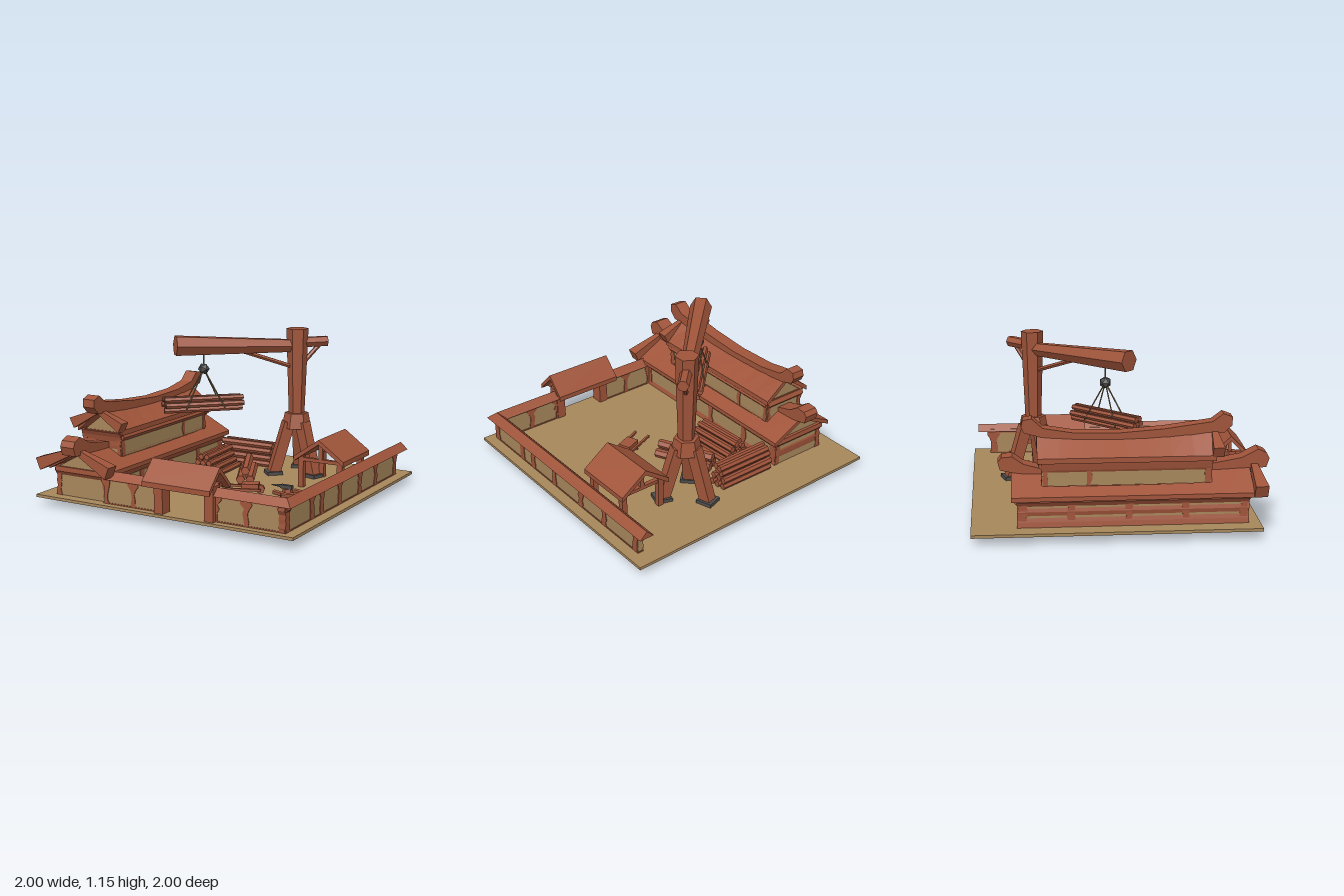
import * as THREE from 'three';

const V = (x, y, z) => new THREE.Vector3(x, y, z);
const mat = (name, color) => { const m = new THREE.MeshStandardMaterial({ color }); m.name = name; return m; };

export function createModel() {
  const root = new THREE.Group();
  const wood = mat('terracotta wood', 0xa0543a), sand = mat('sandy plaster', 0xa8875c);
  const stone = mat('dark stone', 0x4f4d4c), rope = mat('rope', 0x86714f);

  let seed = 7;
  const rnd = () => (seed = (seed * 16807) % 2147483647) / 2147483647 - 0.5;

  // Faceted mesh
  function add(name, geo, material, parent = root) {
    const g = geo.index ? geo.toNonIndexed() : geo;
    g.computeVertexNormals();
    const m = new THREE.Mesh(g, material);
    m.name = name;
    parent.add(m);
    return m;
  }
  function group(name) { const g = new THREE.Group(); g.name = name; root.add(g); return g; }
  const box = (x0, x1, y0, y1, z0, z1) => new THREE.BoxGeometry(x1 - x0, y1 - y0, z1 - z0)
    .translate((x0 + x1) / 2, (y0 + y1) / 2, (z0 + z1) / 2);

  // Tapered bar from a to b; for four sides r is half the side
  function bar(a, b, ra, rb = ra, sides = 6) {
    const d = b.clone().sub(a), k = sides === 4 ? Math.SQRT2 : 1;
    const g = new THREE.CylinderGeometry(rb * k, ra * k, d.length(), sides);
    g.rotateY(Math.atan2(d.z, -d.x) + (sides === 4 ? Math.PI / 4 : 0));
    g.applyQuaternion(new THREE.Quaternion().setFromUnitVectors(V(0, 1, 0), d.normalize()));
    const c = a.clone().add(b).multiplyScalar(0.5);
    return g.translate(c.x, c.y, c.z);
  }
  // Closed skin through matching cross-sections
  function loft(sections) {
    const n = sections[0].length, pts = sections.flat(), idx = [];
    for (let s = 0; s < sections.length - 1; s++) for (let i = 0; i < n; i++) {
      const a = s * n + i, b = s * n + (i + 1) % n;
      idx.push(a, b, b + n, a, b + n, a + n);
    }
    const e = pts.length - n;
    for (let i = 1; i < n - 1; i++) idx.push(0, i + 1, i, e, e + i, e + i + 1);
    let vol = 0;
    for (let i = 0; i < idx.length; i += 3) vol += pts[idx[i]].dot(pts[idx[i + 1]].clone().cross(pts[idx[i + 2]]));
    if (vol < 0) idx.reverse();
    const g = new THREE.BufferGeometry().setFromPoints(pts);
    g.setIndex(idx);
    return g;
  }
  // Gabled roof slab along z, ridge height given by a function
  function roof(cx, half, eave, ridge, z0, z1, t, steps = 1) {
    const out = [];
    for (let i = 0; i <= steps; i++) {
      const z = z0 + (z1 - z0) * i / steps, r = ridge(z);
      out.push([V(cx, r, z), V(cx + half, eave, z), V(cx + half, eave - t, z), V(cx, r - t, z),
        V(cx - half, eave - t, z), V(cx - half, eave, z)]);
    }
    return loft(out);
  }
  // Flat outline pushed through z (or through x, with u running along z)
  function slab(points, center, depth, alongX) {
    const g = new THREE.ExtrudeGeometry(new THREE.Shape(points.map(p => new THREE.Vector2(p[0], p[1]))),
      { depth, bevelEnabled: false }).translate(0, 0, -depth / 2);
    return alongX ? g.rotateY(-Math.PI / 2).translate(center, 0, 0) : g.translate(0, 0, center);
  }
  // Rough-edged timber showing on both faces of a wall
  function post(u, w, y0, y1, center, depth, alongX) {
    const l = [], r = [];
    for (let i = 0; i <= 6; i++) {
      const y = y0 + (y1 - y0) * i / 6, f = i > 4 ? 0.02 : 0;
      l.push([u - w / 2 - f + rnd() * 0.018, y]);
      r.unshift([u + w / 2 + f + rnd() * 0.018, y]);
    }
    add('wallPost', slab([...l, ...r], center, depth, alongX), wood);
  }

  // Ground
  add('ground', slab([[-1, -0.92], [1, -0.92], [1, 1], [-1, 0.96]], 0, 0.02)
    .rotateX(-Math.PI / 2).translate(0, 0.065, 0), sand);

  // Two-tier hall
  const hx = -0.66;
  const gable = (h, y0, y1, peak) => [[hx - h, y0], [hx + h, y0], [hx + h, y1], [hx, peak], [hx - h, y1]];
  add('lowerHall', slab(gable(0.21, 0.07, 0.27, 0.385), 0.09, 1.5), sand);
  add('upperHall', slab(gable(0.16, 0.28, 0.49, 0.61), 0.05, 1.1), sand);
  add('lowerRoof', roof(hx, 0.257, 0.29, z => 0.405 + 0.03 * z * z, -0.70, 0.87, 0.03, 8), wood);
  add('upperRoof', roof(hx, 0.188, 0.525, z => 0.635 + 0.12 * z * z, -0.53, 0.63, 0.035, 8), wood);
  const ridges = {
    lowerRidge: [0.11, [[1, 0.46], [0.98, 0.5], [0.925, 0.525], [0.82, 0.47], [0.6, 0.43], [0, 0.41], [-0.5, 0.42],
      [-0.62, 0.455], [-0.69, 0.505], [-0.76, 0.5], [-0.785, 0.47], [-0.77, 0.415], [-0.7, 0.4], [-0.5, 0.37],
      [0.6, 0.37], [0.87, 0.395], [0.98, 0.4]]],
    upperRidge: [0.095, [[0.75, 0.745], [0.69, 0.767], [0.62, 0.715], [0.3, 0.672], [0, 0.65], [-0.3, 0.658],
      [-0.49, 0.69], [-0.56, 0.755], [-0.62, 0.745], [-0.63, 0.7], [-0.61, 0.66], [-0.5, 0.63], [-0.2, 0.6],
      [0.2, 0.6], [0.6, 0.635], [0.7, 0.64], [0.75, 0.69]]],
  };
  for (const [name, [w, pts]] of Object.entries(ridges)) add(name, slab(pts, hx, w, true), wood);
  for (const s of [-1, 1]) {
    add('lowerGableBoard', bar(V(hx + s * 0.02, 0.415, 0.9), V(hx + s * 0.29, 0.305, 0.91), 0.02, 0.044, 4), wood);
    add('upperGableBoard', bar(V(hx + s * 0.02, 0.64, 0.635), V(hx + s * 0.205, 0.55, 0.64), 0.018, 0.038, 4), wood);
    post(hx + s * 0.195, 0.035, 0.075, 0.28, 0.09, 1.508);
    post(hx + s * 0.145, 0.03, 0.32, 0.5, 0.05, 1.108);
  }
  add('lowerGableBeam', box(hx - 0.2, hx + 0.2, 0.265, 0.28, -0.664, 0.844), wood);
  add('upperGableBeam', box(hx - 0.15, hx + 0.15, 0.49, 0.505, -0.504, 0.604), wood);
  for (const z of [0.81, 0.43, 0.06, -0.31, -0.63]) post(z, 0.05, 0.075, 0.28, hx, 0.428, true);
  for (const z of [0.58, -0.2, -0.48]) post(z, 0.035, 0.31, 0.5, hx, 0.328, true);
  add('upperSill', box(hx - 0.164, hx + 0.164, 0.3, 0.335, -0.5, 0.6), wood);

  // Courtyard walls with small gabled caps
  const walls = [[-0.46, 0, 0.82, 0.865], [0.39, 0.92, 0.82, 0.865], [0.88, 0.92, -0.87, 0.865]];
  for (const [x0, x1, z0, z1] of walls) {
    add('yardWall', box(x0, x1, 0.07, 0.265, z0, z1), sand);
    add('wallTopBeam', box(x0 - 0.002, x1 + 0.004, 0.235, 0.26, z0 - 0.004, z1 + 0.004), wood);
    add('wallFootBeam', box(x0 - 0.002, x1 + 0.004, 0.07, 0.083, z0 - 0.004, z1 + 0.004), wood);
  }
  for (const x of [-0.44, -0.22, -0.02, 0.42, 0.64, 0.9]) post(x, 0.035, 0.075, 0.25, 0.8425, 0.054);
  for (const z of [0.84, 0.5, 0.36, 0.09, -0.23, -0.5, -0.845]) post(z, 0.05, 0.075, 0.25, 0.9, 0.049, true);
  const cap = (x, z, dx, dz) => [V(x, 0.298, z), V(x + dx * 0.054, 0.248, z + dz * 0.054),
    V(x - dx * 0.054, 0.248, z - dz * 0.054)];
  add('wallRoofLeft', loft([cap(0.39, 0.845, 0, 1), cap(0.917, 0.845, 1, 1), cap(0.917, -0.965, 1, 0)]), wood);
  add('wallRoofRight', loft([cap(-0.44, 0.845, 0, 1), cap(0, 0.845, 0, 1)]), wood);

  // Gate
  add('gateRoof', roof(0, 0.128, 0.305, () => 0.435, -0.257, 0.257, 0.035)
    .rotateY(Math.PI / 2).translate(0.188, 0, 0.857), wood);
  for (const x of [0, 0.385]) {
    add('gatePost', box(x - 0.033, x + 0.033, 0.07, 0.31, 0.81, 0.9), wood);
    add('gateKingPost', box(x - 0.015, x + 0.015, 0.3, 0.41, 0.845, 0.87), wood);
    add('gateTie', box(x - 0.015, x + 0.015, 0.285, 0.31, 0.75, 0.965), wood);
  }

  // Open shed
  add('shedRoof', roof(0.638, 0.193, 0.3, () => 0.437, -0.585, -0.15, 0.035), wood);
  for (const z of [-0.53, -0.2]) {
    add('shedTie', box(0.48, 0.8, 0.265, 0.29, z - 0.015, z + 0.015), wood);
    add('shedKingPost', box(0.623, 0.653, 0.28, 0.41, z - 0.015, z + 0.015), wood);
    for (const s of [-1, 1])
      add('shedPost', box(0.638 + s * 0.15 - 0.02, 0.638 + s * 0.15 + 0.02, 0.07, 0.3, z - 0.02, z + 0.02), wood);
  }

  // Crane
  const cx = 0.265, cz = -0.54, crane = group('crane');
  add('craneMast', bar(V(cx, 0.45, cz), V(cx, 1.15, cz), 0.055, 0.08), wood, crane);
  add('craneCollar', bar(V(cx, 0.42, cz), V(cx, 0.53, cz), 0.108, 0.086), wood, crane);
  for (const [x, z] of [[0.21, -0.71], [0.14, -0.42], [0.435, -0.49]]) {
    add('craneLeg', bar(V(x, 0.08, z), V(cx + (x - cx) * 0.35, 0.46, cz + (z - cz) * 0.35), 0.04, 0.04, 4), wood, crane);
    const foot = add('craneFoot', new THREE.BoxGeometry(0.115, 0.1, 0.115), stone, crane);
    foot.position.set(x, 0.05, z);
    foot.rotation.y = Math.atan2(x - cx, z - cz);
  }
  add('jib', bar(V(-0.375, 1.055, 0.1), V(0.24, 1.025, -0.515), 0.078, 0.05), wood, crane);
  add('jibTail', bar(V(0.22, 1.045, -0.495), V(0.425, 1.05, -0.7), 0.04), wood, crane);
  add('jibBrace', bar(V(-0.03, 1.0, -0.245), V(0.25, 0.865, -0.525), 0.017), wood, crane);
  add('tailBrace', bar(V(0.38, 1.02, -0.655), V(0.28, 0.87, -0.555), 0.017), wood, crane);

  // Hook and slings
  const hook = V(-0.232, 0.88, -0.05);
  add('hookBall', new THREE.IcosahedronGeometry(0.042, 0).translate(hook.x, hook.y, hook.z), stone, crane);
  add('hoistRope', bar(hook, V(-0.232, 1.02, -0.05), 0.005), rope, crane);
  for (const s of [-1, 1]) for (const t of [-1, 1])
    add('sling', bar(hook, V(hook.x + s * 0.1 + t * 0.045, 0.6, hook.z - s * 0.1 + t * 0.045), 0.005), rope, crane);

  // Log stacks: log counts from the bottom row up
  function stack(name, x, y, z, angle, len, r, rows) {
    const g = group(name);
    rows.forEach((n, j) => {
      for (let i = 0; i < n; i++) {
        const l = len / 2 * (1 + rnd() * 0.08), w = (i - (n - 1) / 2) * r * 2, h = r + j * r * 1.8, o = rnd() * 0.02;
        add('log', bar(V(o - l, h, w), V(o + l, h, w), r, r * 0.93), wood, g);
      }
    });
    g.position.set(x, y, z);
    g.rotation.y = angle;
  }
  stack('liftedLogs', -0.235, 0.57, -0.05, Math.PI / 4, 0.56, 0.021, [2, 3, 2]);
  stack('backLogPile', -0.17, 0.075, -0.615, 0, 0.42, 0.025, [3, 3, 2, 2]);
  stack('sideLogPile', -0.265, 0.075, -0.265, -1.5, 0.38, 0.023, [5, 4, 3, 2]);
  stack('shortLogs', 0.025, 0.075, -0.23, -1.12, 0.42, 0.034, [2, 1]);

  // Handcart
  const cart = group('handcart');
  add('cartBed', new THREE.BoxGeometry(0.12, 0.04, 0.09).translate(0.02, 0.05, 0), wood, cart);
  for (const s of [-1, 1]) {
    add('cartHandle', bar(V(-0.17, 0.035, s * 0.055), V(0.1, 0.03, s * 0.05), 0.008, 0.008, 4), wood, cart);
    add('cartLeg', bar(V(-0.02, 0, s * 0.045), V(-0.02, 0.04, s * 0.045), 0.008, 0.008, 4), wood, cart);
  }
  add('cartWheel', bar(V(0.09, 0.03, -0.015), V(0.09, 0.03, 0.015), 0.03, 0.03, 8), wood, cart);
  cart.position.set(0.24, 0.075, 0.14);
  cart.rotation.y = 0.38;

  // Anvil on a stump with loose billets
  add('stump', bar(V(0.5, 0.07, 0.04), V(0.5, 0.115, 0.04), 0.04, 0.035), wood);
  add('anvil', box(0.45, 0.54, 0.115, 0.14, 0.025, 0.055), stone);
  add('anvilHorn', bar(V(0.45, 0.13, 0.04), V(0.38, 0.13, 0.05), 0.012, 0.003), stone);
  for (const [x0, z0, x1, z1] of [[0.53, -0.01, 0.65, 0.03], [0.42, 0.09, 0.54, 0.13], [0.51, 0.16, 0.6, 0.07]])
    add('billet', bar(V(x0, 0.092, z0), V(x1, 0.092, z1), 0.017, 0.017, 5), wood);

  return root;
}
